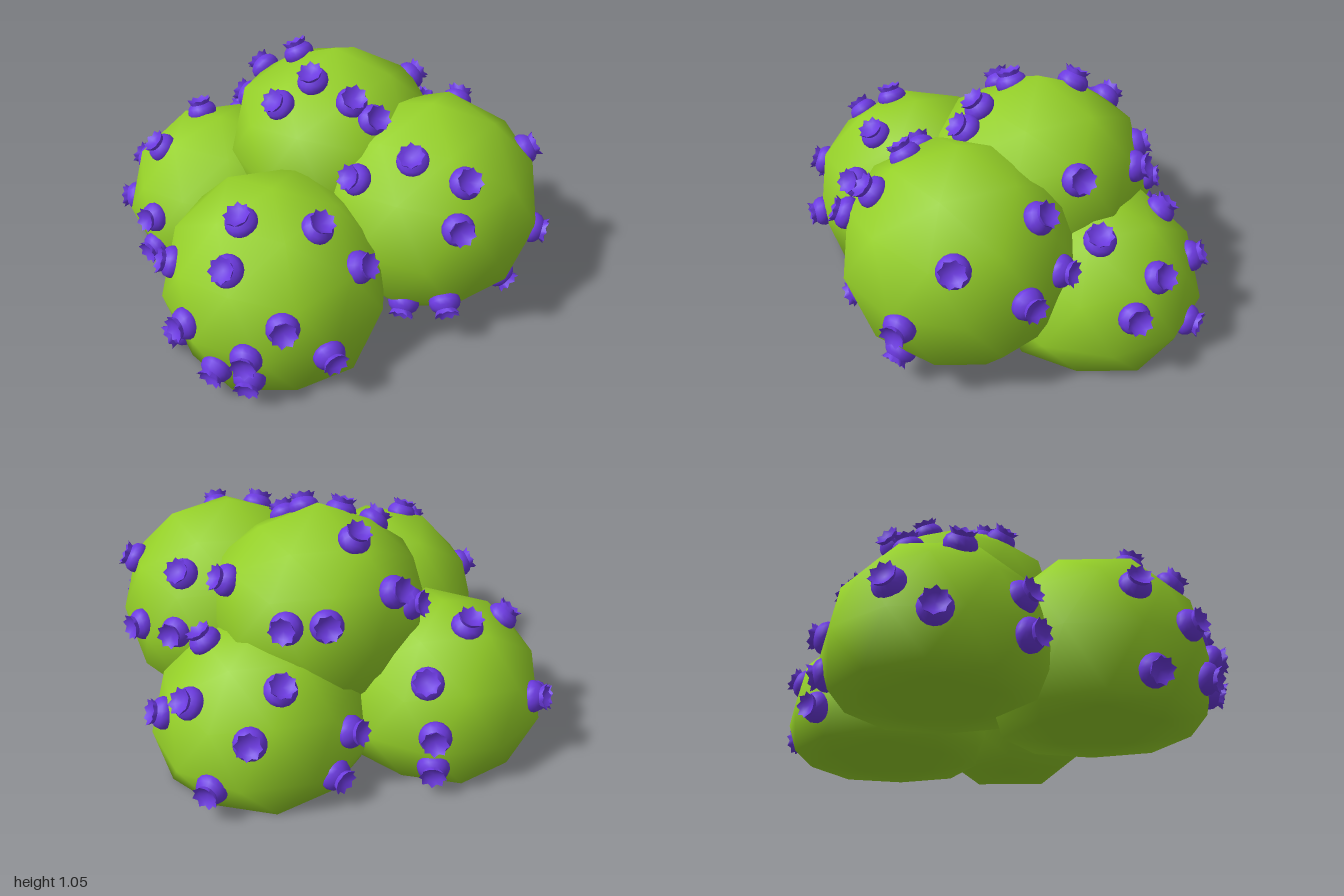
import * as THREE from 'three';
import { mergeVertices, toCreasedNormals } from 'three/addons/utils/BufferGeometryUtils.js';

const GROUND = 0.012;
const leafMaterial = new THREE.MeshStandardMaterial({ color: 0x95d028 });
const berryMaterial = new THREE.MeshStandardMaterial({ color: 0x6c3ae0 });

// Each clump: centre, radius, how far its shoulders sag (drop, eased towards +x by lean),
// and its berries as [turn from the front, height] in degrees
const clumps = [
  { name: 'frontClump', c: [-0.16, 0.265, 0.42], r: 0.49, drop: 0, lean: 0, berries: [
    [-35, 67], [56, 60], [64, 32], [-24, 43], [11, 19], [-7, 1],
    [-25, -15], [-7, -16], [33, -2], [-43, 6], [-72, 23], [-65, -21]] },
  { name: 'leftClump', c: [0.47, 0.45, 0.045], r: 0.5, drop: 0.025, lean: 0.05, berries: [
    [102, 28], [76, -5], [65, -36], [-17, 56], [24, 44], [15, 23],
    [13, -28], [-11, -35], [160, 39], [162, 9], [137, 5], [-50, 35]] },
  { name: 'rightClump', c: [-0.49, 0.195, -0.215], r: 0.46, drop: 0, lean: 0, berries: [
    [-137, 69], [-69, 51], [-109, 14], [-86, -1], [-39, 15], [-37, -5],
    [174, 38], [-179, 10], [-179, -10]] },
  { name: 'backClump', c: [0.235, 0.17, -0.49], r: 0.47, drop: 0, lean: 0, berries: [
    [100, 61], [-175, 25], [164, -4], [-153, 50], [141, 36], [120, 20], [-128, -5], [-115, 15]] },
  { name: 'topClump', c: [0.04, 0.59, -0.19], r: 0.47, drop: 0.055, lean: 0, berries: [
    [-167, 18], [172, 16], [-126, 27], [-111, 15], [-126, 61],
    [-31, 68], [-45, 45], [22, 54], [35, 41], [124, 27]] },
];

// Faceted ball with a vertex on top, sagging shoulders and its underside pressed flat
function clumpGeometry({ c, r, drop, lean }) {
  const ball = new THREE.IcosahedronGeometry(r, 1);
  ball.rotateZ(-Math.atan(2 / (1 + Math.sqrt(5))));
  const pos = ball.attributes.position;
  for (let i = 0; i < pos.count; i++) {
    const height = pos.getY(i) / r;
    if (height > 0.7 && height < 0.95) pos.setY(i, pos.getY(i) - drop + lean * pos.getX(i));
  }
  ball.translate(...c);
  for (let i = 0; i < pos.count; i++) if (pos.getY(i) < 0.06) pos.setY(i, GROUND);
  ball.deleteAttribute('normal');
  ball.deleteAttribute('uv');
  const merged = mergeVertices(ball, 1e-4);
  merged.computeVertexNormals();
  return merged;
}

// Round berry with a narrow neck and a hollow eight-pointed crown, opening along +y
function berryGeometry() {
  const profile = [[0, -0.05], [0.045, -0.04], [0.066, -0.012], [0.068, 0.008], [0.06, 0.028],
    [0.044, 0.042], [0.056, 0.066], [0.034, 0.048], [0, 0.04]];
  const rim = 6;
  const geometry = new THREE.LatheGeometry(profile.map((p) => new THREE.Vector2(...p)), 16);
  const pos = geometry.attributes.position;
  for (let i = rim; i < pos.count; i += profile.length) {
    const notch = Math.floor(i / profile.length) % 2 === 1;
    const s = notch ? 0.82 : 1.02;
    pos.setXYZ(i, pos.getX(i) * s, pos.getY(i) - (notch ? 0.009 : 0), pos.getZ(i) * s);
  }
  return toCreasedNormals(geometry, 0.9);
}

export function createModel() {
  const model = new THREE.Group();
  model.name = 'berryBush';
  const berry = berryGeometry();
  const up = new THREE.Vector3(0, 1, 0);
  const ray = new THREE.Raycaster();

  for (const spec of clumps) {
    const clump = new THREE.Mesh(clumpGeometry(spec), leafMaterial);
    clump.name = spec.name;
    model.add(clump);

    // Berries rest on the clump's surface and point outwards
    const centre = new THREE.Vector3(...spec.c);
    for (const [turn, height] of spec.berries) {
      const dir = new THREE.Vector3().setFromSphericalCoords(
        1, THREE.MathUtils.degToRad(90 - height), THREE.MathUtils.degToRad(turn));
      ray.set(centre.clone().addScaledVector(dir, 1.2 * spec.r), dir.clone().negate());
      const mesh = new THREE.Mesh(berry, berryMaterial);
      mesh.name = 'berry';
      mesh.position.copy(ray.intersectObject(clump)[0].point);
      mesh.quaternion.setFromUnitVectors(up, dir);
      model.add(mesh);
    }
  }
  return model;
}
